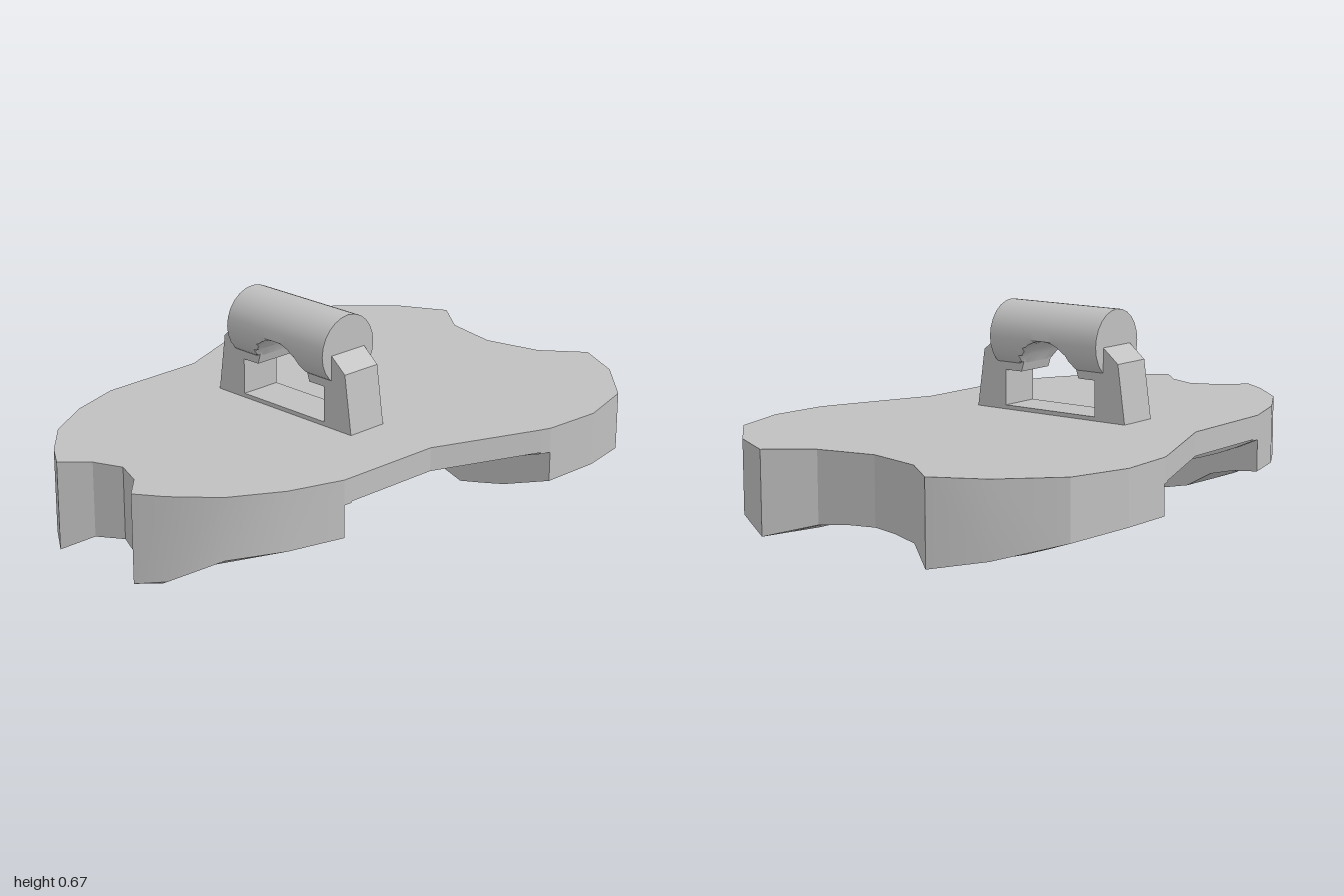
import * as THREE from 'three';
import { toCreasedNormals } from 'three/addons/utils/BufferGeometryUtils.js';

const TOP = 0.3;
const grey = new THREE.MeshStandardMaterial({ color: 0xc0c0c0 });
grey.name = 'grey';

// Linear interpolation through [position, value] pairs
function table(pairs, p) {
  for (let i = 1; i < pairs.length; i++) {
    const [p0, v0] = pairs[i - 1], [p1, v1] = pairs[i];
    if (p <= p1) return v0 + (v1 - v0) * (p - p0) / (p1 - p0);
  }
  return pairs[pairs.length - 1][1];
}

// Solid between y = TOP and an underside; each station is a half row of [x, y, z] from the middle out
function slab(name, halfStations) {
  const stations = halfStations.map(half => [
    ...half.slice(1).reverse().map(([x, y, z]) => [x, y, -z]), ...half
  ]);
  const pos = [];
  const quad = (a, b, c, d) => pos.push(...a, ...b, ...c, ...a, ...c, ...d);
  const up = p => [p[0], TOP, p[2]];
  const n = stations[0].length, last = stations.length - 1;
  for (let i = 0; i < last; i++) {
    const s = stations[i], t = stations[i + 1];
    for (let j = 0; j < n - 1; j++) {
      quad(s[j], t[j], t[j + 1], s[j + 1]);
      quad(up(s[j]), up(s[j + 1]), up(t[j + 1]), up(t[j]));
    }
    quad(s[0], up(s[0]), up(t[0]), t[0]);
    quad(s[n - 1], t[n - 1], up(t[n - 1]), up(s[n - 1]));
  }
  const s = stations[0], t = stations[last];
  for (let j = 0; j < n - 1; j++) {
    quad(s[j], s[j + 1], up(s[j + 1]), up(s[j]));
    quad(t[j], up(t[j]), up(t[j + 1]), t[j + 1]);
  }
  const g = new THREE.BufferGeometry();
  g.setAttribute('position', new THREE.Float32BufferAttribute(pos, 3));
  const mesh = new THREE.Mesh(toCreasedNormals(g, 0.3), grey);
  mesh.name = name;
  return mesh;
}

// End lobe: outline [x, halfWidth] from the channel to the tip, with a notch given as [x, z] from the middle to the tip
function endLobe(name, outline, notch, height) {
  const x0 = outline[0][0], tip = outline[outline.length - 1][0];
  const ridge = notch[notch.length - 1][1];
  const stations = outline.map(([x, w]) => {
    const f = (x - x0) / (tip - x0);
    const inner = notch.map(([nx, z]) => [x0 + (nx - x0) * f, z]);
    const outer = [0.25, 0.5, 0.75, 1].map(k => [x, ridge + (w - ridge) * k]);
    return [...inner, ...outer].map(([px, z]) => [px, height(px, z), z]);
  });
  if (tip < x0) stations.reverse();
  return slab(name, stations);
}

// Middle section whose underside bellies down from edge to centre
function belly(name, outline, edge, centre) {
  return slab(name, outline.map(([x, w]) => {
    const row = [];
    for (let j = 0; j <= 8; j++) {
      const v = j / 8;
      row.push([x, centre + (edge - centre) * v * v, w * v]);
    }
    return row;
  }));
}

// Round grip along z with an arched finger cut-out underneath
function makeGrip() {
  const g = new THREE.CylinderGeometry(0.118, 0.118, 0.45, 24, 36).rotateX(Math.PI / 2);
  g.translate(-0.11, 0.555, 0);
  const arch = [[0, 0.555], [0.035, 0.55], [0.07, 0.535], [0.105, 0.49], [0.122, 0.437], [1, 0.437]];
  const p = g.attributes.position;
  for (let i = 0; i < p.count; i++) {
    p.setY(i, Math.max(p.getY(i), table(arch, Math.abs(p.getZ(i)))));
  }
  const mesh = new THREE.Mesh(toCreasedNormals(g, 0.7), grey);
  mesh.name = 'grip';
  return mesh;
}

// Bracket carrying the grip: two sloped posts, a thin foot and an arched window
function makeBracket() {
  const mirror = half => [...half, ...half.slice().reverse().map(([z, y]) => [-z, y])]
    .map(([z, y]) => new THREE.Vector2(z, y));
  const shape = new THREE.Shape(mirror([[0.315, 0.29], [0.285, 0.5], [0.225, 0.55], [0.2, 0.58]]));
  shape.holes.push(new THREE.Path(mirror([
    [0.19, 0.314], [0.19, 0.437], [0.122, 0.437], [0.105, 0.49], [0.07, 0.535], [0.02, 0.555]
  ])));
  const g = new THREE.ExtrudeGeometry(shape, { depth: 0.15, bevelEnabled: false });
  g.rotateY(Math.PI / 2).translate(-0.185, 0, 0);
  const mesh = new THREE.Mesh(g, grey);
  mesh.name = 'bracket';
  return mesh;
}

export function createModel() {
  const model = new THREE.Group();
  model.name = 'handledFloat';

  // Underside heights across each lobe
  const wideHeight = [[0, 0.06], [0.1, 0.057], [0.2, 0.045], [0.34, 0], [0.52, 0.04], [0.745, 0.12]];
  const narrowHeight = [[0, 0.055], [0.1, 0.045], [0.18, 0], [0.24, 0], [0.4, 0.09], [0.56, 0.105]];

  model.add(
    endLobe('wideLobe',
      [[0.325, 0.727], [0.53, 0.74], [0.74, 0.68], [0.91, 0.51], [1, 0.34]],
      [[0.845, 0], [0.867, 0.1], [0.89, 0.2], [1, 0.34]],
      (x, z) => table(wideHeight, z) + 0.02 * Math.max(0, (x - 0.7) / 0.3)),
    endLobe('narrowLobe',
      [[-0.465, 0.56], [-0.65, 0.5], [-0.82, 0.4], [-0.94, 0.27], [-1, 0.18]],
      [[-0.88, 0], [-0.92, 0.1], [-1, 0.18]],
      (x, z) => table(narrowHeight, z)),
    belly('channel', [[-0.435, 0.561], [-0.08, 0.567], [0.29, 0.715]], 0.22, 0.145),
    belly('narrowLedge', [[-0.465, 0.56], [-0.435, 0.561]], 0.215, 0.08),
    belly('wideLedge', [[0.29, 0.715], [0.325, 0.727]], 0.215, 0.08)
  );

  const handle = new THREE.Group();
  handle.name = 'handle';
  handle.add(makeBracket(), makeGrip());
  model.add(handle);
  return model;
}
